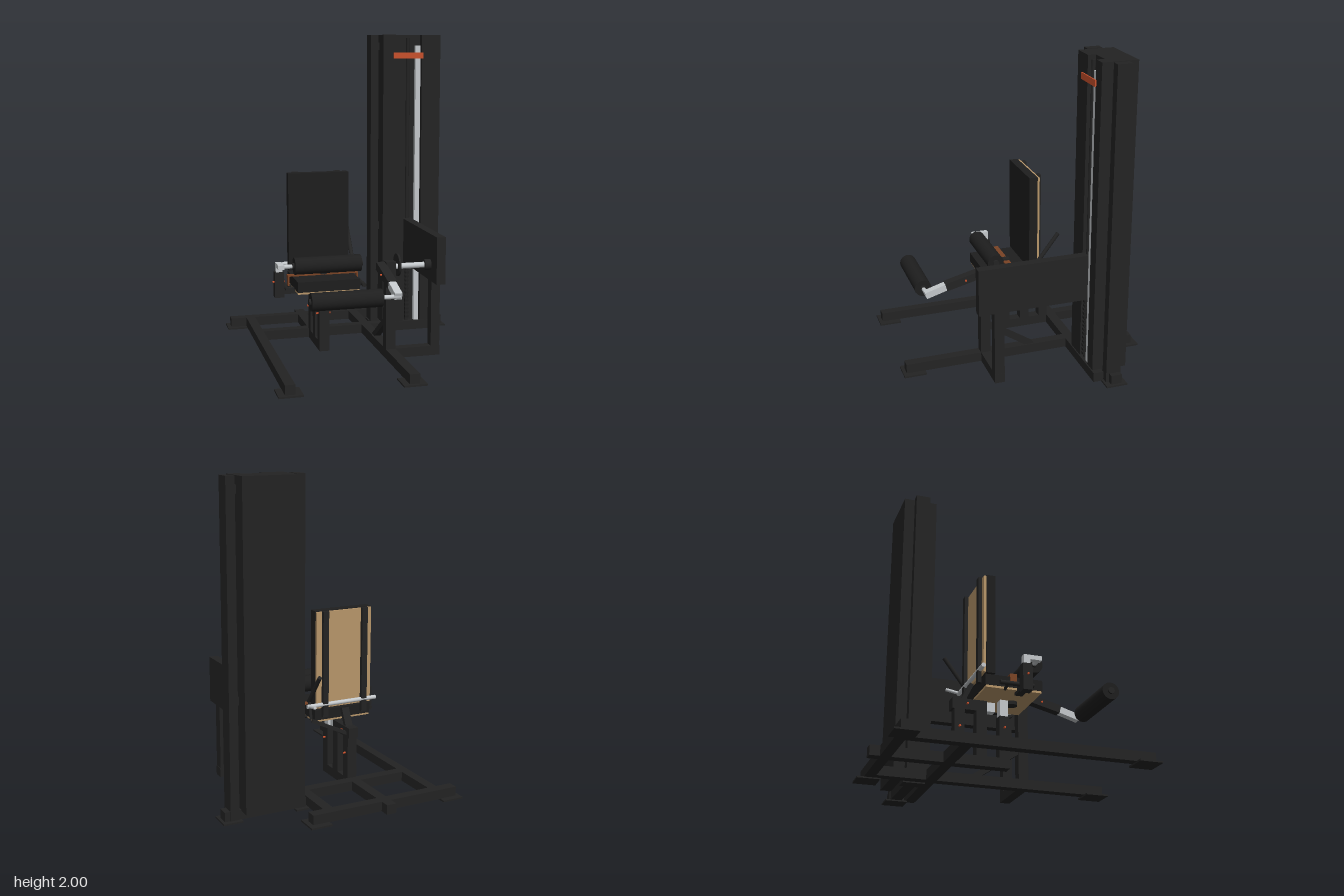
import * as THREE from 'three';

const mat = (name, color) => {
  const m = new THREE.MeshStandardMaterial({ color });
  m.name = name;
  return m;
};

export function createModel() {
  const root = new THREE.Group();
  root.name = 'legMachine';
  const black = mat('black frame', 0x232323);
  const pad = mat('black padding', 0x1e1e1e);
  const silver = mat('silver steel', 0xc3c7ca);
  const wood = mat('plywood', 0xb8966a);
  const orange = mat('orange accent', 0xc8502c);
  const brown = mat('brown strap', 0x7a4325);

  const add = (parent, name, geo, material) => {
    const m = new THREE.Mesh(geo, material);
    m.name = name;
    parent.add(m);
    return m;
  };
  const group = (name) => {
    const g = new THREE.Group();
    g.name = name;
    root.add(g);
    return g;
  };
  // Box given by its limits on each axis
  const box = (p, name, x0, x1, y0, y1, z0, z1, m = black) => {
    const b = add(p, name, new THREE.BoxGeometry(x1 - x0, y1 - y0, z1 - z0), m);
    b.position.set((x0 + x1) / 2, (y0 + y1) / 2, (z0 + z1) / 2);
    return b;
  };
  // Round rod between two points
  const rod = (p, name, a, b, r, m = black) => {
    const A = new THREE.Vector3(...a), B = new THREE.Vector3(...b);
    const c = add(p, name, new THREE.CylinderGeometry(r, r, A.distanceTo(B), 24), m);
    c.position.copy(A).add(B).multiplyScalar(0.5);
    c.quaternion.setFromUnitVectors(new THREE.Vector3(0, 1, 0), B.sub(A).normalize());
    return c;
  };
  // Rectangular bar between two points
  const bar = (p, name, a, b, w, h, m = black) => {
    const A = new THREE.Vector3(...a), B = new THREE.Vector3(...b);
    const c = add(p, name, new THREE.BoxGeometry(w, h, A.distanceTo(B)), m);
    c.position.copy(A).add(B).multiplyScalar(0.5);
    c.lookAt(B);
    return c;
  };

  // Floor frame
  const base = group('floorFrame');
  box(base, 'rightRail', -0.61, -0.55, 0.008, 0.068, -0.73, 0.76);
  box(base, 'leftRail', 0.118, 0.18, 0.008, 0.068, -0.73, 0.76);
  box(base, 'rearCrossbar', -0.715, 0.275, 0.008, 0.068, -0.73, -0.667);
  box(base, 'middleCrossbar', -0.55, 0.65, 0.008, 0.068, -0.37, -0.305);
  box(base, 'centreRail', -0.247, -0.183, 0.008, 0.068, -0.79, 0.022);
  box(base, 'towerRail', 0.19, 0.715, 0.008, 0.068, -0.465, -0.395);
  box(base, 'armRail', 0.18, 0.47, 0.008, 0.068, 0.21, 0.273);
  for (const [x0, x1, z0, z1] of [
    [-0.74, -0.6, -0.77, -0.632], [0.17, 0.305, -0.77, -0.632],
    [-0.65, -0.506, 0.64, 0.782], [0.078, 0.22, 0.64, 0.782],
    [0.18, 0.265, -0.495, -0.36], [0.61, 0.733, -0.495, -0.36],
  ]) box(base, 'footPlate', x0, x1, 0, 0.01, z0, z1);

  // Weight tower: shroud with front slot, side columns, guide strip
  const tower = group('weightTower');
  box(tower, 'shroudBack', 0.265, 0.61, 0.06, 2, -0.535, -0.36);
  box(tower, 'shroudFrontRight', 0.265, 0.41, 0.06, 2, -0.36, -0.312);
  box(tower, 'shroudFrontLeft', 0.53, 0.61, 0.06, 2, -0.36, -0.312);
  box(tower, 'guideStrip', 0.488, 0.522, 0.07, 1.93, -0.345, -0.318, silver);
  rod(tower, 'guideRod', [0.44, 0.07, -0.335], [0.44, 1.98, -0.335], 0.012);
  for (let i = 0; i < 14; i++)
    box(tower, 'selectorNotch', 0.428, 0.452, 0.09 + i * 0.028, 0.105 + i * 0.028, -0.335, -0.315, pad);
  box(tower, 'topMarker', 0.335, 0.537, 1.845, 1.885, -0.312, -0.304, orange);
  for (const [x0, x1, b0, b1] of [[0.198, 0.25, 0.25, 0.265], [0.625, 0.68, 0.61, 0.625]]) {
    box(tower, 'sideColumn', x0, x1, 0.01, 2, -0.47, -0.375);
    for (const y of [0.7, 1.9]) box(tower, 'columnBracket', b0, b1, y, y + 0.05, -0.45, -0.4);
  }

  // Cable arm housing and its supports
  const arm = group('cableArm');
  box(arm, 'armHousing', 0.41, 0.467, 0.483, 0.778, -0.53, 0.37);
  box(arm, 'armPost', 0.41, 0.467, 0.06, 0.49, 0.21, 0.273);
  box(arm, 'pivotPost', 0.118, 0.18, 0.06, 0.62, 0.21, 0.273);
  bar(arm, 'postBrace', [0.149, 0.25, 0.22], [0.149, 0.05, -0.085], 0.04, 0.035);
  rod(arm, 'pivotShaft', [0.1, 0.585, 0.242], [0.4, 0.585, 0.242], 0.018, silver);
  rod(arm, 'shaftCollar', [0.37, 0.585, 0.242], [0.412, 0.585, 0.242], 0.034);
  rod(arm, 'adjusterDisc', [0.198, 0.59, 0.222], [0.21, 0.59, 0.222], 0.07);
  rod(arm, 'adjusterHandle', [0.21, 0.6, 0.165], [0.235, 0.6, 0.165], 0.009, silver);
  bar(arm, 'adjusterLink', [0.222, 0.6, 0.16], [0.222, 0.59, 0.24], 0.015, 0.015, silver);

  // Swinging lever with shin roller
  const lever = group('legLever');
  bar(lever, 'leverArm', [0.094, 0.592, 0.225], [0.094, 0.53, 0.475], 0.056, 0.05);
  bar(lever, 'leverSlide', [0.094, 0.532, 0.465], [0.094, 0.49, 0.605], 0.046, 0.042, silver);
  rod(lever, 'rollerAxle', [0, 0.487, 0.593], [0.11, 0.487, 0.593], 0.013, silver);
  rod(lever, 'leverPin', [0.056, 0.562, 0.35], [0.132, 0.562, 0.35], 0.006, orange);

  // Foam rollers
  const roller = (p, name, y, z) => {
    rod(p, name, [-0.425, y, z], [-0.005, y, z], 0.053, pad);
    rod(p, name + 'Caps', [-0.437, y, z], [0.008, y, z], 0.02);
  };
  roller(lever, 'shinRoller', 0.487, 0.593);

  // Thigh roller on its side support
  const thigh = group('thighSupport');
  roller(thigh, 'thighRoller', 0.592, 0.112);
  box(thigh, 'socket', -0.535, -0.477, 0.385, 0.545, 0.002, 0.06);
  box(thigh, 'socketBeam', -0.5, -0.37, 0.405, 0.44, 0.01, 0.055);
  box(thigh, 'slidePost', -0.525, -0.487, 0.54, 0.6, 0.012, 0.05, silver);
  box(thigh, 'slideReach', -0.525, -0.487, 0.575, 0.602, 0.012, 0.122, silver);
  rod(thigh, 'rollerAxle', [-0.515, 0.59, 0.108], [-0.43, 0.59, 0.108], 0.013, silver);
  rod(thigh, 'socketPin', [-0.545, 0.48, 0.031], [-0.467, 0.48, 0.031], 0.006, orange);

  // Seat with strap and side handles
  const seat = group('seat');
  box(seat, 'seatBoard', -0.41, -0.022, 0.422, 0.435, -0.175, 0.16, wood);
  box(seat, 'seatPad', -0.412, -0.02, 0.435, 0.5, -0.18, 0.165, pad);
  box(seat, 'strap', -0.442, 0.01, 0.5, 0.508, -0.042, 0, brown);
  for (const x of [-0.442, 0.002]) box(seat, 'strapSide', x, x + 0.008, 0.44, 0.5, -0.042, 0, brown);
  box(seat, 'buckle', -0.235, -0.195, 0.505, 0.518, -0.048, 0.008);
  for (const [x, inner] of [[-0.461, -0.4], [0.029, -0.03]]) {
    rod(seat, 'sideHandle', [x, 0.44, -0.11], [x, 0.44, 0.092], 0.013);
    for (const z of [-0.06, 0.04])
      rod(seat, 'handleStem', [inner, 0.425, z], [x, 0.44, z], 0.009);
  }
  rod(seat, 'seatHub', [-0.215, 0.4, 0.045], [-0.215, 0.425, 0.045], 0.035);

  // Seat and back posts
  const posts = group('supportPosts');
  box(posts, 'seatPost', -0.247, -0.183, 0.06, 0.32, -0.04, 0.022);
  box(posts, 'seatSlide', -0.24, -0.19, 0.26, 0.422, -0.034, 0.016, silver);
  box(posts, 'middlePost', -0.247, -0.183, 0.06, 0.345, -0.178, -0.115);
  box(posts, 'rearPost', -0.247, -0.183, 0.06, 0.345, -0.31, -0.25);
  box(posts, 'backBeam', -0.247, -0.183, 0.335, 0.4, -0.325, -0.115);
  box(posts, 'backSlide', -0.24, -0.19, 0.34, 0.396, -0.13, -0.065, silver);
  bar(posts, 'backBrace', [-0.215, 0.35, -0.28], [-0.215, 0.5, -0.205], 0.05, 0.025);
  bar(posts, 'releaseLink', [-0.19, 0.36, -0.285], [0.02, 0.45, -0.215], 0.02, 0.02);
  for (const [y, z] of [[0.25, -0.01], [0.37, -0.235], [0.23, -0.28]])
    rod(posts, 'lockPin', [-0.262, y, z], [-0.168, y, z], 0.006, orange);

  // Backrest
  const back = group('backrest');
  box(back, 'backPad', -0.412, -0.02, 0.51, 1.135, -0.175, -0.12, pad);
  box(back, 'backBoard', -0.408, -0.024, 0.515, 1.13, -0.19, -0.175, wood);
  for (const x of [-0.372, -0.098]) box(back, 'backRail', x, x + 0.038, 0.46, 1.135, -0.212, -0.19);
  rod(back, 'backCrossbar', [-0.442, 0.54, -0.2], [0.046, 0.54, -0.2], 0.013, silver);
  rod(back, 'crossbarGrip', [0.035, 0.54, -0.2], [0.035, 0.555, -0.285], 0.01, silver);
  rod(back, 'releaseHandle', [0.014, 0.56, -0.16], [0.014, 0.75, -0.305], 0.013);
  rod(back, 'releaseStem', [0.014, 0.45, -0.19], [0.014, 0.57, -0.165], 0.01);

  return root;
}
